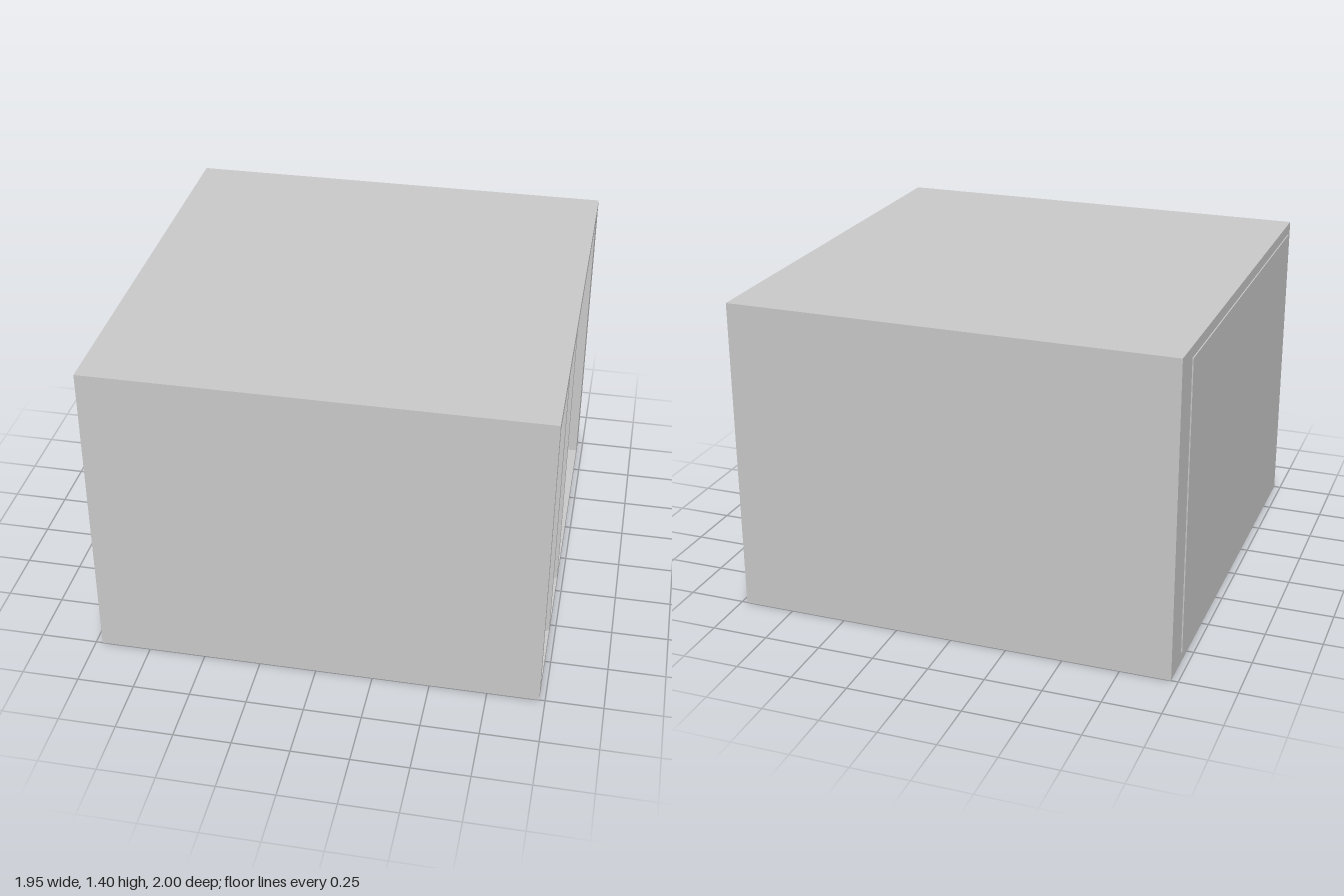
import * as THREE from 'three';

const material = new THREE.MeshStandardMaterial({ color: 0xcccccc });

// Box given by its lower and upper corners
function slab(name, [x0, y0, z0], [x1, y1, z1]) {
  const geometry = new THREE.BoxGeometry(x1 - x0, y1 - y0, z1 - z0);
  const mesh = new THREE.Mesh(geometry, material);
  mesh.position.set((x0 + x1) / 2, (y0 + y1) / 2, (z0 + z1) / 2);
  mesh.name = name;
  return mesh;
}

export function createModel() {
  const group = new THREE.Group();
  group.name = 'openCabinet';

  const L = -0.97, R = 0.975; // carcass extent along x
  const H = 1.4, T = 0.05; // height and board thickness
  const backInner = -0.85, frontInner = 0.95;

  // Outer walls, with a thick back wall
  group.add(
    slab('frontWall', [L, 0, frontInner], [R, H, 1]),
    slab('backWall', [L, 0, -1], [R, H, backInner]),
    slab('floorBoard', [L, 0, backInner], [R, T, frontInner]),
    slab('topBoard', [L, H - T, backInner], [R, H, frontInner])
  );

  // Closing panel on the -x side, standing slightly proud
  group.add(slab('closingPanel', [-0.975, T, backInner], [-0.95, H - T, frontInner]));

  // Upright dividers between the three compartments
  for (const z of [0.55, 0.17]) {
    group.add(slab('divider', [-0.95, T, z], [R, H - T, z + T]));
  }
  return group;
}
